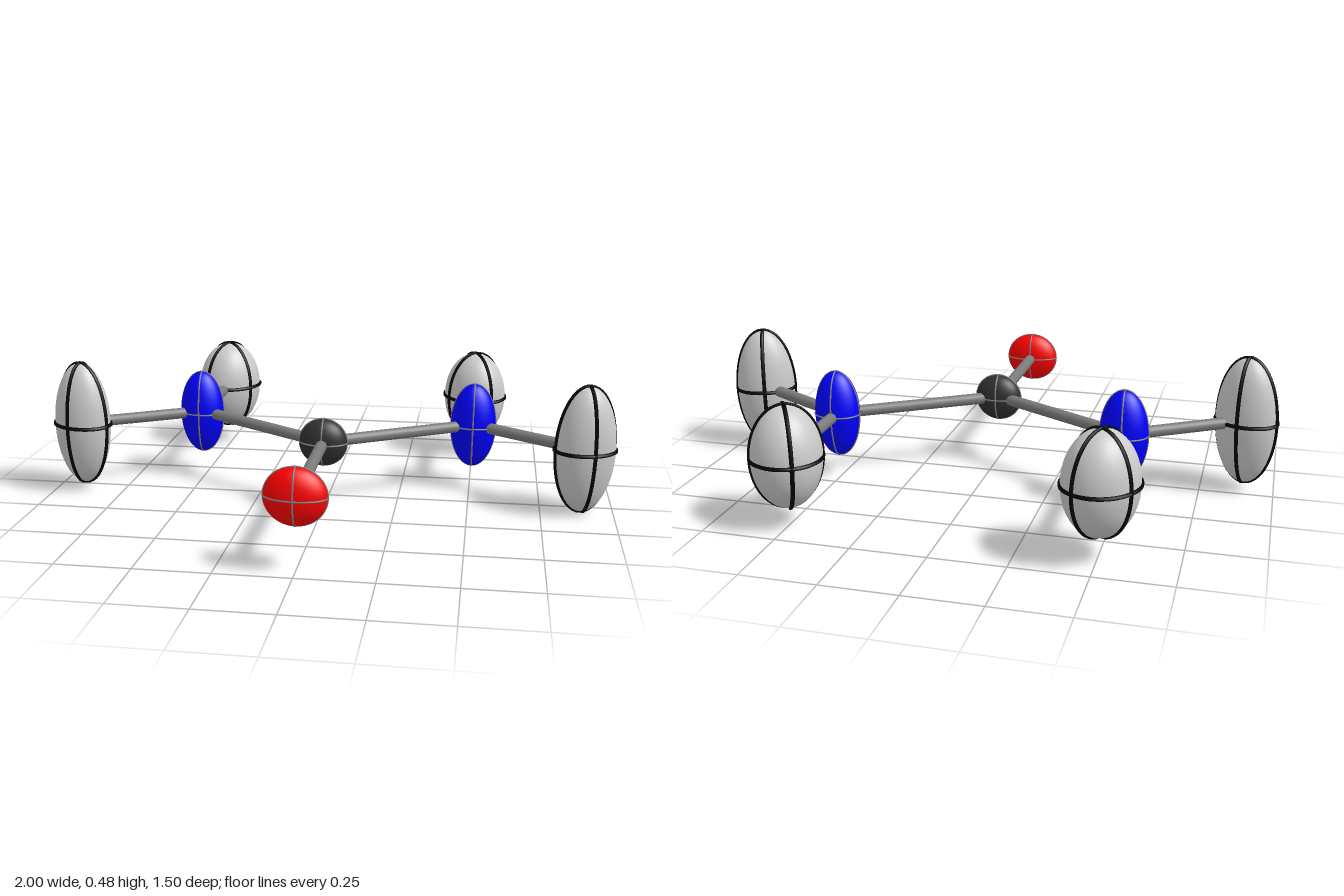
import * as THREE from 'three';

const mat = (color) => new THREE.MeshStandardMaterial({ color });
const grey = mat(0xcccccc), black = mat(0x050505), bondGrey = mat(0x7a7a7a);
const dark = mat(0x303030), blue = mat(0x0000ff), red = mat(0xff0000);

const TILT = -0.012; // the whole plane of atoms leans slightly to one side
const at = (x, z) => new THREE.Vector3(x, 0.243 + TILT * x, z);

// Thin band around an ellipse spanned by two semi-axis vectors
function ring(u, v, radius, material) {
  const pts = [];
  for (let i = 0; i < 40; i++) {
    const a = (i / 40) * Math.PI * 2;
    pts.push(u.clone().multiplyScalar(Math.cos(a)).addScaledVector(v, Math.sin(a)));
  }
  const path = new THREE.CatmullRomCurve3(pts, true);
  const mesh = new THREE.Mesh(new THREE.TubeGeometry(path, 64, radius, 6, true), material);
  mesh.name = 'principalRing';
  return mesh;
}

// Ellipsoid with a ring around each of its three principal planes
function atom(name, pos, radii, turn, material, ringRadius, ringMaterial) {
  const g = new THREE.Group();
  g.name = name;
  const body = new THREE.SphereGeometry(1, 40, 28).scale(...radii);
  body.computeVertexNormals();
  const mesh = new THREE.Mesh(new THREE.SphereGeometry(1, 40, 28), material);
  mesh.scale.set(...radii);
  mesh.name = 'ellipsoid';
  body.dispose();
  g.add(mesh);
  const axes = [
    new THREE.Vector3(radii[0], 0, 0),
    new THREE.Vector3(0, radii[1], 0),
    new THREE.Vector3(0, 0, radii[2]),
  ];
  for (let i = 0; i < 3; i++) g.add(ring(axes[i], axes[(i + 1) % 3], ringRadius, ringMaterial));
  g.position.copy(pos);
  g.rotation.set(0, turn, TILT);
  return g;
}

// Round stick between two atom centres
function bond(name, a, b) {
  const dir = b.clone().sub(a);
  const mesh = new THREE.Mesh(new THREE.CylinderGeometry(0.02, 0.02, dir.length(), 20), bondGrey);
  mesh.position.copy(a).addScaledVector(dir, 0.5);
  mesh.quaternion.setFromUnitVectors(new THREE.Vector3(0, 1, 0), dir.normalize());
  mesh.name = name;
  return mesh;
}

export function createModel() {
  const model = new THREE.Group();
  model.name = 'ellipsoidMolecule';

  // Centre line: carbon and oxygen
  const c = at(0, 0.128), o = at(0, 0.69);
  model.add(
    atom('carbon', c, [0.083, 0.083, 0.054], 0, dark, 0.003, bondGrey),
    atom('oxygen', o, [0.099, 0.093, 0.054], 0, red, 0.003, bondGrey),
    bond('carbonOxygenBond', c, o),
  );

  // Two mirrored arms: nitrogen with an outer and a back hydrogen
  for (const [s, side] of [[1, 'left'], [-1, 'right']]) {
    const n = at(s * 0.507, -0.182), outer = at(s * 0.892, 0.053), back = at(s * 0.503, -0.622);
    model.add(
      atom(side + 'Nitrogen', n, [0.081, 0.154, 0.065], 0, blue, 0.003, bondGrey),
      atom(side + 'OuterHydrogen', outer, [0.107, 0.222, 0.084], s * 0.35, grey, 0.007, black),
      atom(side + 'BackHydrogen', back, [0.128, 0.171, 0.116], -s * 1.01, grey, 0.007, black),
      bond(side + 'CarbonNitrogenBond', c, n),
      bond(side + 'OuterHydrogenBond', n, outer),
      bond(side + 'BackHydrogenBond', n, back),
    );
  }
  return model;
}
